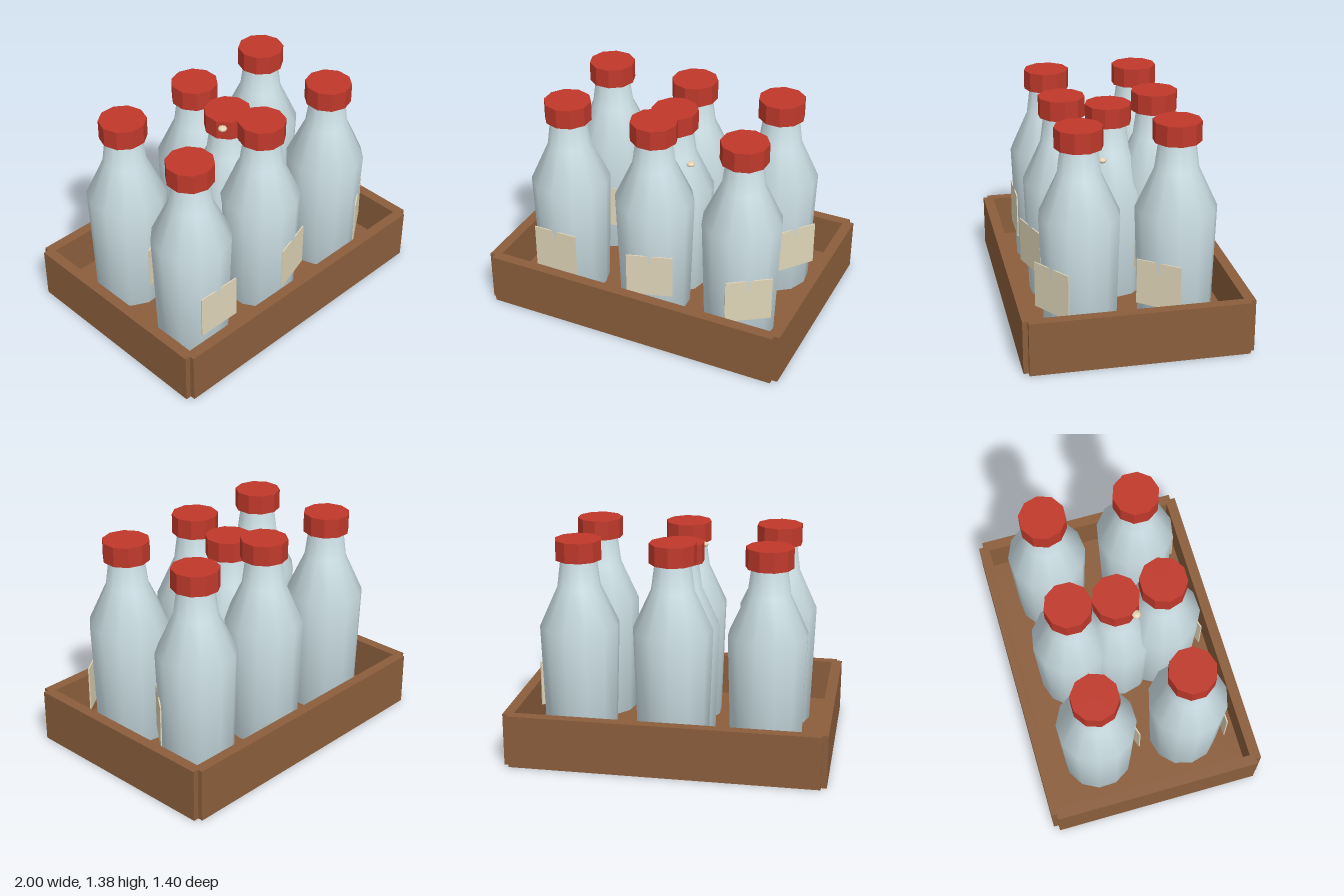
import * as THREE from 'three';

const mat = (name, color) => Object.assign(new THREE.MeshStandardMaterial({ color }), { name });

export function createModel() {
  const wood = mat('wood', 0x8b5e3c);
  const glass = mat('milkyGlass', 0xd6eaf0);
  glass.side = THREE.DoubleSide;
  const red = mat('capRed', 0xc0392b);
  red.flatShading = true;
  const paper = mat('labelPaper', 0xdfd5b8);
  const pebble = mat('beadBeige', 0xe6d3b3);

  const model = new THREE.Group();
  model.name = 'bottleCrate';

  const add = (parent, name, geometry, material, x, y, z) => {
    const mesh = new THREE.Mesh(geometry, material);
    mesh.name = name;
    mesh.position.set(x, y, z);
    parent.add(mesh);
    return mesh;
  };

  // Crate: floor and four walls with stepped corners
  const crate = new THREE.Group();
  crate.name = 'crate';
  model.add(crate);
  add(crate, 'crateFloor', new THREE.BoxGeometry(1.9, 0.065, 1.3), wood, 0, 0.0345, 0);
  for (const s of [-1, 1]) {
    add(crate, s > 0 ? 'frontWall' : 'backWall',
      new THREE.BoxGeometry(1.93, 0.338, 0.067), wood, 0, 0.171, s * 0.6685);
    add(crate, s > 0 ? 'leftWall' : 'rightWall',
      new THREE.BoxGeometry(0.067, 0.338, 1.34), wood, s * 0.9665, 0.171, 0);
  }

  // Bottle profile from the base centre up to under the cap
  const profile = [[0, 0], [0.225, 0], [0.25, 0.763], [0.135, 1.013], [0.11, 1.2]]
    .map(([r, y]) => new THREE.Vector2(r, y));
  const bodyGeometry = new THREE.LatheGeometry(profile, 12);
  const capGeometry = new THREE.CylinderGeometry(0.147, 0.147, 0.125, 10);
  const labelGeometry = new THREE.BoxGeometry(0.29, 0.29, 0.008);

  const makeBottle = (name, x, y, z, turn, hasLabel) => {
    const bottle = new THREE.Group();
    bottle.name = name;
    bottle.position.set(x, y, z);
    bottle.rotation.y = turn;
    add(bottle, 'bottleBody', bodyGeometry, glass, 0, 0, 0);
    add(bottle, 'bottleCap', capGeometry, red, 0, 1.2455, 0);
    if (hasLabel) add(bottle, 'bottleLabel', labelGeometry, paper, 0, 0.333, 0.234);
    model.add(bottle);
  };

  // Two rows of three, each turned a little further than the last
  for (let row = 0; row < 2; row++) {
    for (let col = 0; col < 3; col++) {
      makeBottle(`bottle${row * 3 + col + 1}`, (col - 1) * 0.59, 0.067,
        row ? -0.295 : 0.295, (row + col) * 0.3, true);
    }
  }

  // Lower bottle in the middle, set into the floor
  makeBottle('middleBottle', 0, 0, 0, 0, false);

  // Small flattened beads on the middle bottle
  const beadGeometry = new THREE.SphereGeometry(0.029, 8, 6);
  beadGeometry.scale(1, 0.6, 1);
  add(model, 'upperBead', beadGeometry, pebble, -0.13, 1.273, 0.09);
  add(model, 'lowerBead', beadGeometry, pebble, 0.138, 0.98, 0.064);

  return model;
}
